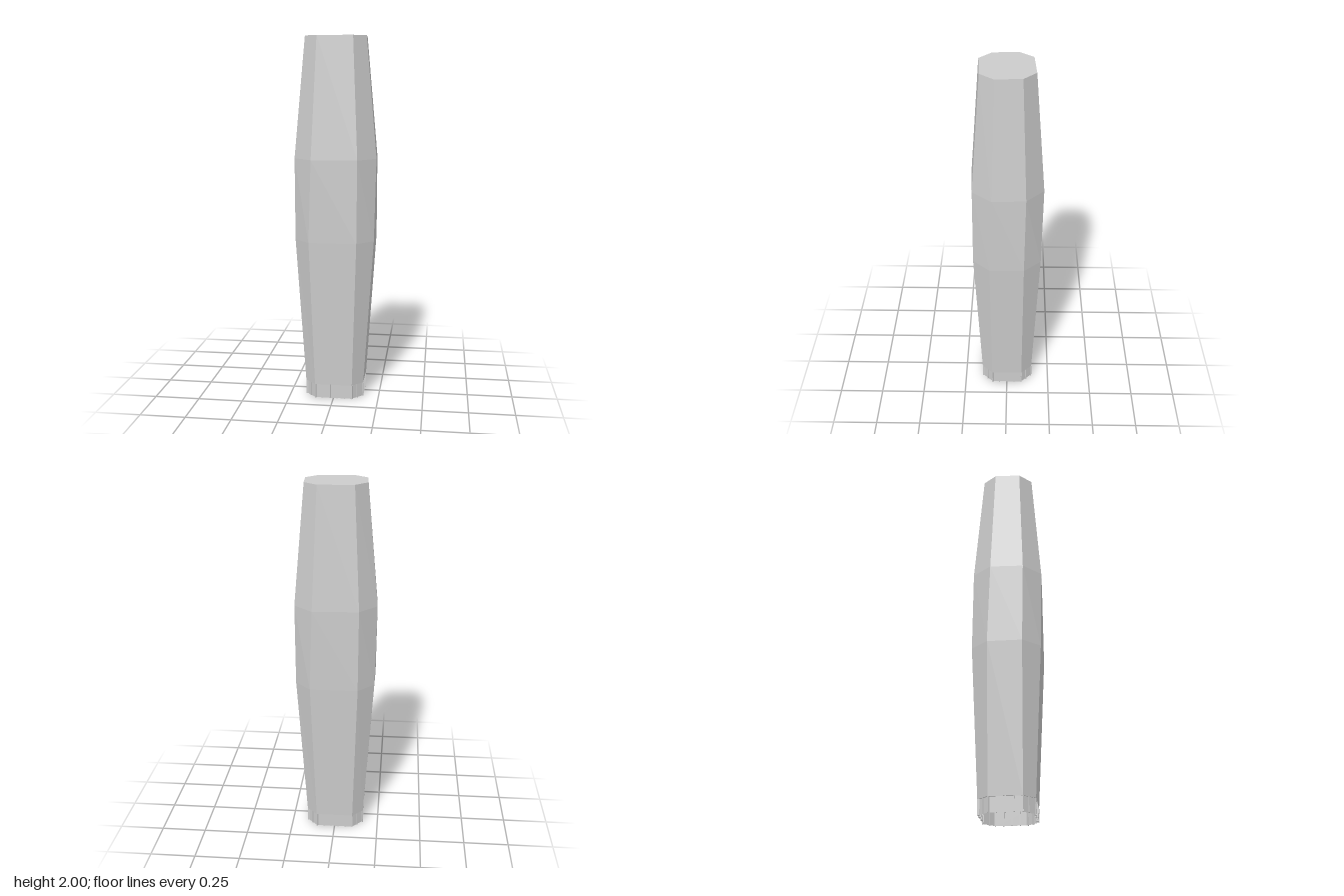
import * as THREE from 'three';

const stone = new THREE.MeshStandardMaterial({ color: 0xcccccc });
stone.name = 'pale grey';
stone.flatShading = true;
const stoneOpen = stone.clone();
stoneOpen.side = THREE.DoubleSide;

// Chamfered rectangle: half sizes hx, hz; half lengths of its straight sides ex, ez; turned about y
function ring(y, hx, hz, ex, ez, turn = 0) {
  const c = Math.cos(turn), s = Math.sin(turn);
  return [[-ex, -hz], [ex, -hz], [hx, -ez], [hx, ez], [ex, hz], [-ex, hz], [-hx, ez], [-hx, -ez]]
    .map(([x, z]) => new THREE.Vector3(x * c + z * s, y, -x * s + z * c));
}

// Skin between successive rings, with optional end caps
function loft(name, rings, material, capBottom, capTop) {
  const p = [];
  const tri = (...vs) => vs.forEach((v) => p.push(v.x, v.y, v.z));
  const n = rings[0].length;
  for (let i = 0; i < n; i++) {
    const j = (i + 1) % n;
    for (let k = 0; k < rings.length - 1; k++) {
      const lo = rings[k], hi = rings[k + 1];
      tri(lo[i], hi[i], hi[j]);
      tri(lo[i], hi[j], lo[j]);
    }
    const first = rings[0], last = rings[rings.length - 1];
    if (capBottom) tri(new THREE.Vector3(0, first[0].y, 0), first[i], first[j]);
    if (capTop) tri(new THREE.Vector3(0, last[0].y, 0), last[j], last[i]);
  }
  const geo = new THREE.BufferGeometry();
  geo.setAttribute('position', new THREE.Float32BufferAttribute(p, 3));
  geo.computeVertexNormals();
  const mesh = new THREE.Mesh(geo, material);
  mesh.name = name;
  return mesh;
}

export function createModel() {
  const group = new THREE.Group();
  group.name = 'tower';
  const H = 0.08; // height of the ground floor

  // Tapered shaft, twisting slightly above the middle
  group.add(loft('shaft', [
    ring(H, 0.163, 0.148, 0.104, 0.088),
    ring(0.9, 0.217, 0.187, 0.13, 0.094),
    ring(1.35, 0.222, 0.19, 0.1236, 0.09, 0.05),
    ring(2, 0.164, 0.1405, 0.0955, 0.07, 0.058),
  ], stone, true, true));

  // Ground floor wall, set back and open underneath
  const inset = 0.006;
  group.add(loft('lobbyWall', [0, H].map((y) =>
    ring(y, 0.163 - inset, 0.148 - inset, 0.104 - inset * 0.4, 0.088 - inset * 0.4)), stoneOpen));

  // Thin upright fins around the ground floor
  const fins = new THREE.Group();
  fins.name = 'lobbyFins';
  const finGeo = new THREE.BoxGeometry(0.006, H, 0.012);
  const base = ring(H / 2, 0.163, 0.148, 0.104, 0.088);
  const bays = [5, 2, 4, 2];
  base.forEach((a, i) => {
    const b = base[(i + 1) % 8], n = bays[i % 4];
    const dir = b.clone().sub(a).normalize();
    const out = new THREE.Vector3(dir.z, 0, -dir.x);
    for (let k = 0; k < n; k++) {
      const fin = new THREE.Mesh(finGeo, stone);
      fin.name = 'fin';
      fin.position.lerpVectors(a, b, k / n).addScaledVector(out, -0.006);
      fin.rotation.y = Math.atan2(out.x, out.z);
      fins.add(fin);
    }
  });
  group.add(fins);
  return group;
}
